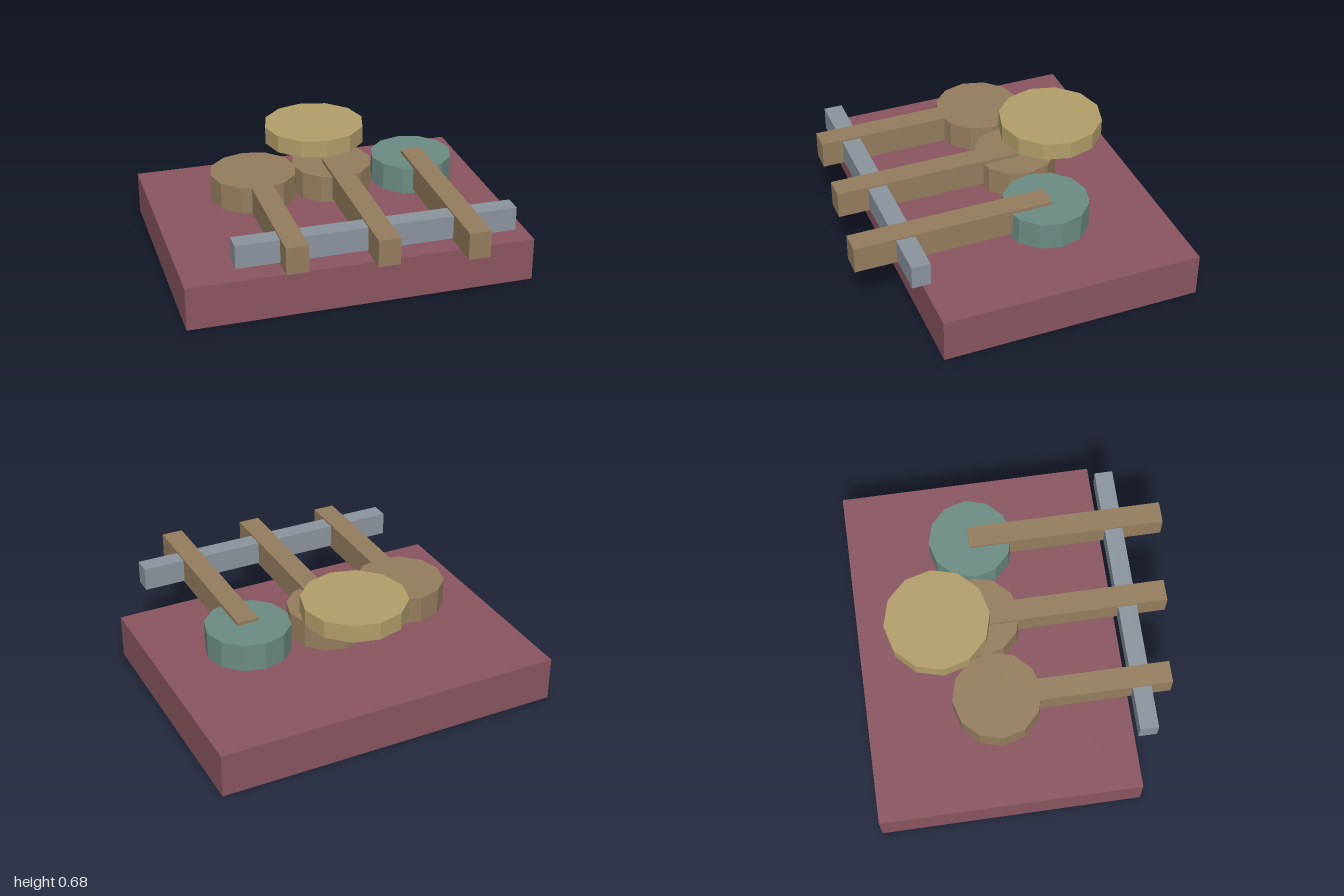
import * as THREE from 'three';

export function createModel() {
  const group = new THREE.Group();
  const material = (name, color) => {
    const m = new THREE.MeshStandardMaterial({ color });
    m.name = name;
    return m;
  };
  const maroon = material('maroon', 0x8a5560);
  const brown = material('brown', 0x957d5e);
  const sand = material('sand', 0xb29e6a);
  const teal = material('teal', 0x6c8c84);
  const grey = material('grey', 0x8b949e);

  const add = (name, geometry, mat, x, y, z) => {
    const mesh = new THREE.Mesh(geometry, mat);
    mesh.name = name;
    mesh.position.set(x, y, z);
    group.add(mesh);
  };
  // Box given by its limits on each axis
  const box = (name, mat, [x0, x1], [y0, y1], [z0, z1]) =>
    add(name, new THREE.BoxGeometry(x1 - x0, y1 - y0, z1 - z0), mat,
      (x0 + x1) / 2, (y0 + y1) / 2, (z0 + z1) / 2);
  // Twelve-sided disc with crisp facets
  const disc = (name, mat, radius, x, z, [y0, y1]) => {
    const faceted = new THREE.CylinderGeometry(radius, radius, y1 - y0, 12).toNonIndexed();
    faceted.computeVertexNormals();
    add(name, faceted, mat, x, (y0 + y1) / 2, z);
  };

  // Base slab and the cross bar along its front edge
  box('base', maroon, [-1, 1], [0, 0.255], [-0.92, 0.573]);
  box('crossBar', grey, [-0.745, 0.83], [0.395, 0.53], [0.577, 0.682]);

  // Discs
  disc('rightDisc', brown, 0.25, -0.44, -0.175, [0.385, 0.54]);
  disc('middleDisc', brown, 0.235, 0.04, -0.217, [0.36, 0.52]);
  disc('leftDisc', teal, 0.24, 0.525, -0.2, [0.36, 0.52]);
  disc('raisedDisc', sand, 0.297, 0, -0.45, [0.573, 0.675]);

  // Levers running from each disc out over the front edge
  [
    ['rightLever', -0.44, -0.175, 0.803],
    ['middleLever', 0.045, -0.217, 0.858],
    ['leftLever', 0.527, -0.21, 0.917],
  ].forEach(([name, x, back, front]) =>
    box(name, brown, [x - 0.062, x + 0.062], [0.385, 0.54], [back, front]));

  return group;
}
